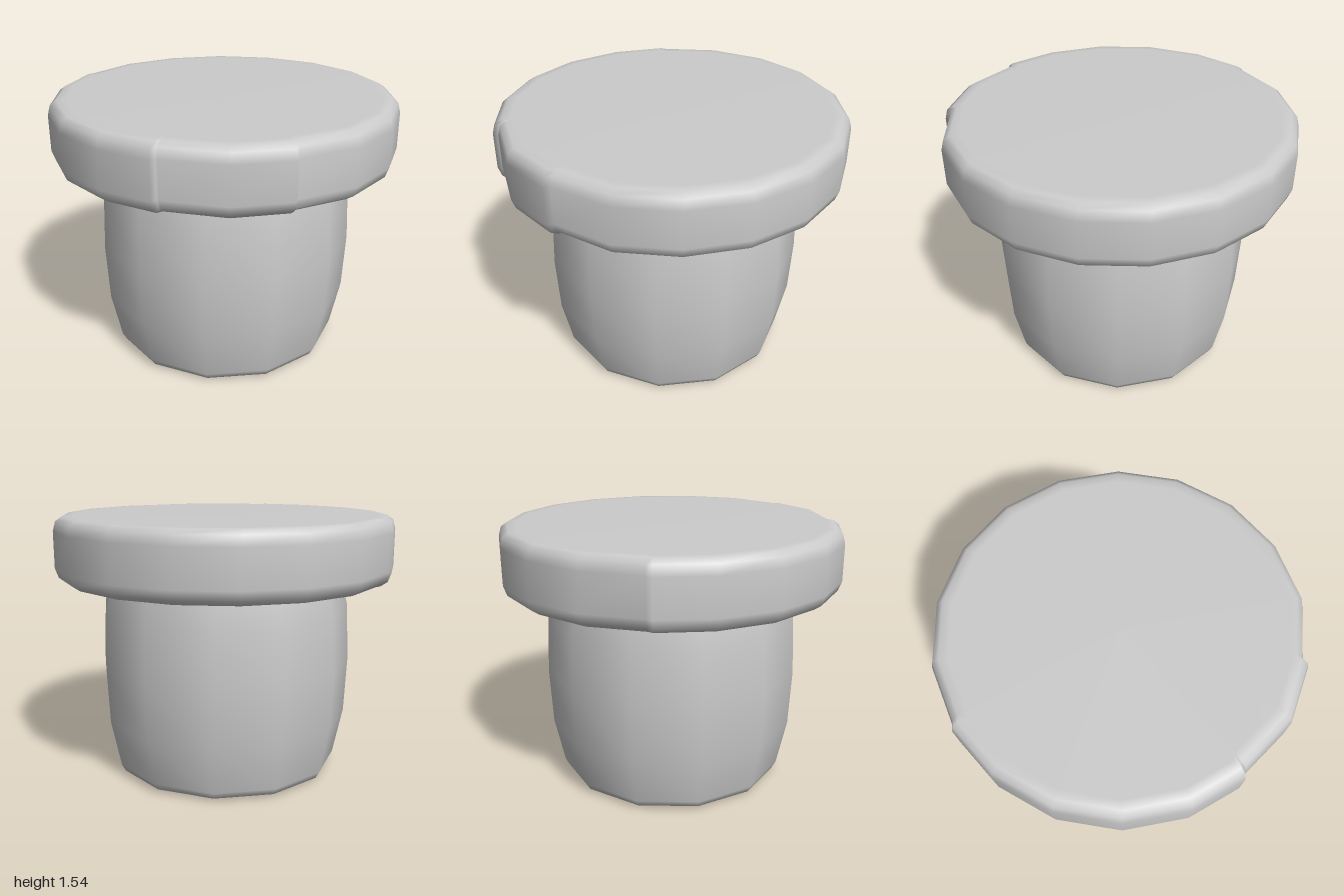
import * as THREE from 'three';

const material = new THREE.MeshStandardMaterial({ color: 0xcccccc });

function addMesh(parent, name, geometry) {
  const mesh = new THREE.Mesh(geometry, material);
  mesh.name = name;
  parent.add(mesh);
  return mesh;
}

// Stacks scaled copies of a polar outline ([degrees, radius]) and closes both ends
function stackOutline(outline, levels) {
  const n = outline.length;
  const positions = [];
  const index = [];
  for (const [scale, y] of levels) {
    for (const [deg, r] of outline) {
      const a = THREE.MathUtils.degToRad(deg);
      positions.push(Math.sin(a) * r * scale, y, Math.cos(a) * r * scale);
    }
  }
  const bottom = positions.length / 3;
  const top = bottom + 1;
  const last = (levels.length - 1) * n;
  positions.push(0, levels[0][1], 0, 0, levels[levels.length - 1][1], 0);
  for (let i = 0; i < n; i++) {
    const j = (i + 1) % n;
    for (let k = 0; k < last; k += n) {
      index.push(k + i, k + j, k + n + j, k + i, k + n + j, k + n + i);
    }
    index.push(bottom, j, i, top, last + i, last + j);
  }
  const geometry = new THREE.BufferGeometry();
  geometry.setAttribute('position', new THREE.Float32BufferAttribute(positions, 3));
  geometry.setIndex(index);
  geometry.computeVertexNormals();
  return geometry;
}

export function createModel() {
  const model = new THREE.Group();
  model.name = 'lidded barrel';

  // Bulging twelve-sided barrel with a rounded bottom rim
  const profile = [
    [0.43, 0.025], [0.52, 0.003], [0.60, 0], [0.66, 0.02], [0.682, 0.06],
    [0.74, 0.34], [0.755, 0.67], [0.74, 1.0], [0.70, 1.18],
  ].map(([r, y]) => new THREE.Vector2(r, y));
  addMesh(model, 'barrelBody', new THREE.LatheGeometry(profile, 12));

  // Flat base inside the rim
  const base = addMesh(model, 'barrelBase', new THREE.CircleGeometry(0.43, 12));
  base.rotation.x = Math.PI / 2;
  base.position.y = 0.025;

  // Eighteen-sided lid outline with small steps where its boards meet
  const outline = [[0, 0.97]];
  for (let deg = 20; deg < 360; deg += 20) {
    if (deg === 220) outline.push([219.6, 0.987], [221.5, 1.004]);
    else if (deg === 320) outline.push([317.8, 0.998], [318.8, 0.971], [319.6, 0.967]);
    else outline.push([deg, 1]);
  }
  outline.push([358.6, 1]);

  // Thick lid with bevelled upper and lower edges
  addMesh(model, 'lid', stackOutline(outline, [
    [0.88, 1.165], [0.94, 1.168], [0.98, 1.195], [1, 1.25],
    [1, 1.46], [0.985, 1.515], [0.95, 1.54], [0.90, 1.542],
  ]));

  return model;
}
